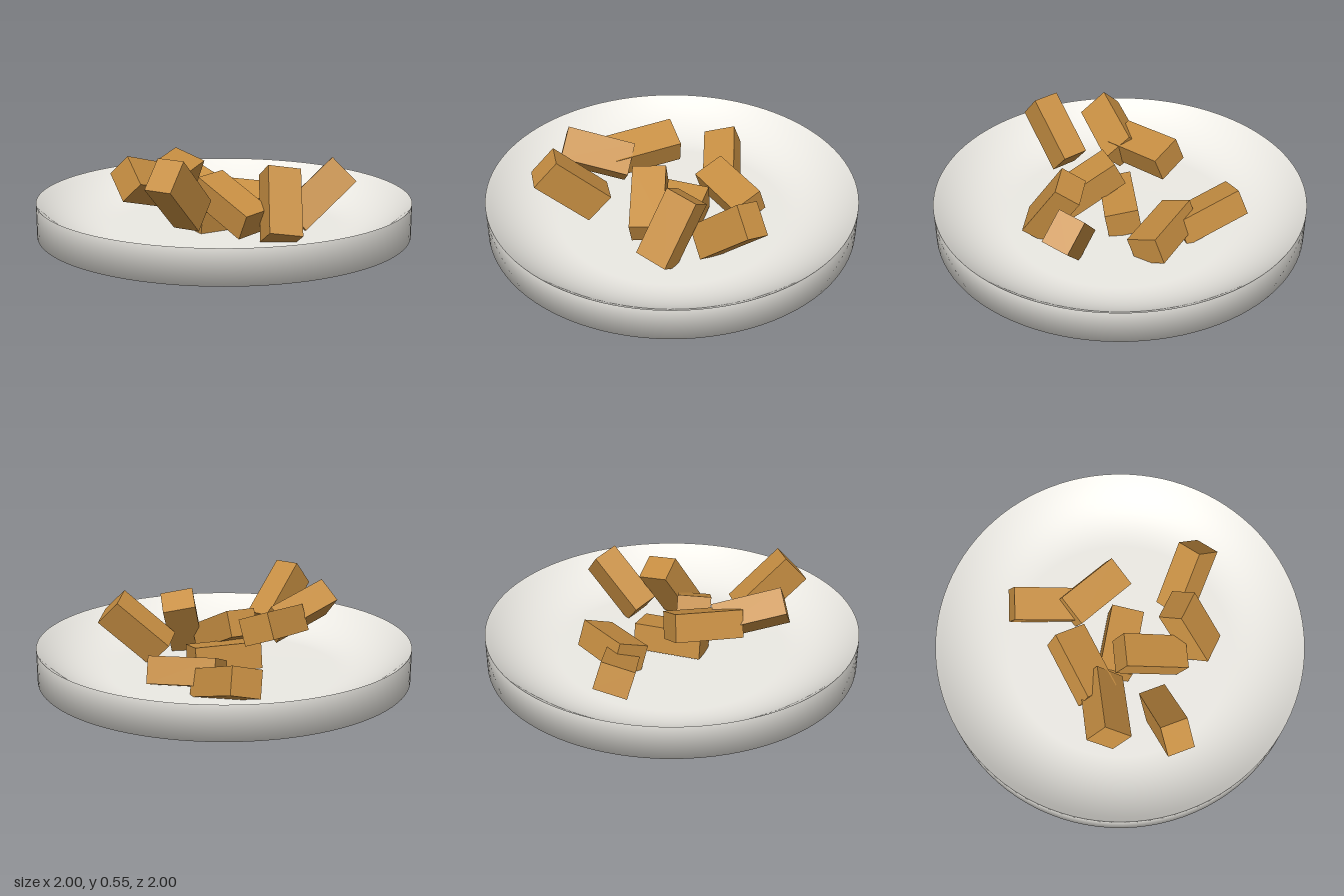
import * as THREE from 'three';

const BASE = 0.045, FLOOR = 0.055, RIM = 0.225, HOLE = 0.55;

// Lathe a list of [radius, height] points around y
function lathe(points, material, name) {
  const profile = points.map(([r, y]) => new THREE.Vector2(r, y));
  const mesh = new THREE.Mesh(new THREE.LatheGeometry(profile, 96), material);
  mesh.name = name;
  return mesh;
}

// One block: centre, direction of its long axis, normal of its broad face
function makeBlock(geometry, material, [center, along, up]) {
  const u = new THREE.Vector3(...along).normalize();
  const w = new THREE.Vector3().crossVectors(u, new THREE.Vector3(...up)).normalize();
  const v = new THREE.Vector3().crossVectors(w, u);
  const mesh = new THREE.Mesh(geometry, material);
  mesh.quaternion.setFromRotationMatrix(new THREE.Matrix4().makeBasis(u, v, w));
  mesh.position.set(...center);
  mesh.name = 'block';
  return mesh;
}

export function createModel() {
  const model = new THREE.Group();
  model.name = 'plateOfBlocks';

  // Plate: dished top, upright side and an underside open around the centre
  const china = new THREE.MeshStandardMaterial({ color: 0xeceae4, side: THREE.DoubleSide });
  const slope = new THREE.QuadraticBezierCurve(
    new THREE.Vector2(0.62, FLOOR), new THREE.Vector2(0.82, FLOOR), new THREE.Vector2(1, RIM));
  const plate = new THREE.Group();
  plate.name = 'plate';
  plate.add(
    lathe([[0, FLOOR], ...slope.getPoints(12).map((p) => [p.x, p.y])], china, 'dish'),
    lathe([[HOLE, BASE], [0.82, BASE], [1, BASE], [1, RIM]], china, 'side'));
  model.add(plate);

  // Heap of equal blocks
  const brown = new THREE.MeshStandardMaterial({ color: 0xc68e42, flatShading: true });
  const brick = new THREE.BoxGeometry(0.37, 0.145, 0.18);
  const poses = [
    [[0.145, 0.14, -0.455], [0.1, -0.11, 0.332], [-0.03, 0.13, 0.045]],
    [[0.27, 0.132, -0.2], [0.794, -0.07, 0.608], [-0.22, 0.925, 0.28]],
    [[-0.225, 0.33, -0.165], [0.3, 0.04, -0.235], [0.02, 0.125, 0.045]],
    [[-0.435, 0.345, 0], [0.337, -0.1, -0.107], [0.053, 0.095, 0.083]],
    [[0, 0.129, 0], [1, 0, 0], [0, 0.99, 0.17]],
    [[-0.065, 0.225, 0.18], [0.1, -0.155, 0.32], [0.06, 0.9, 0.41]],
    [[0.408, 0.245, 0.3], [0.268, 0.25, 0.072], [-0.09, 0.03, 0.125]],
    [[0.127, 0.235, 0.365], [-0.1, -0.3, 0.177], [-0.015, 0.08, 0.107]],
    [[-0.443, 0.347, 0.323], [0.23, -0.25, -0.144], [0.5, 0, 0.85]],
  ];
  const heap = new THREE.Group();
  heap.name = 'blocks';
  poses.forEach((pose) => heap.add(makeBlock(brick, brown, pose)));
  model.add(heap);
  return model;
}
